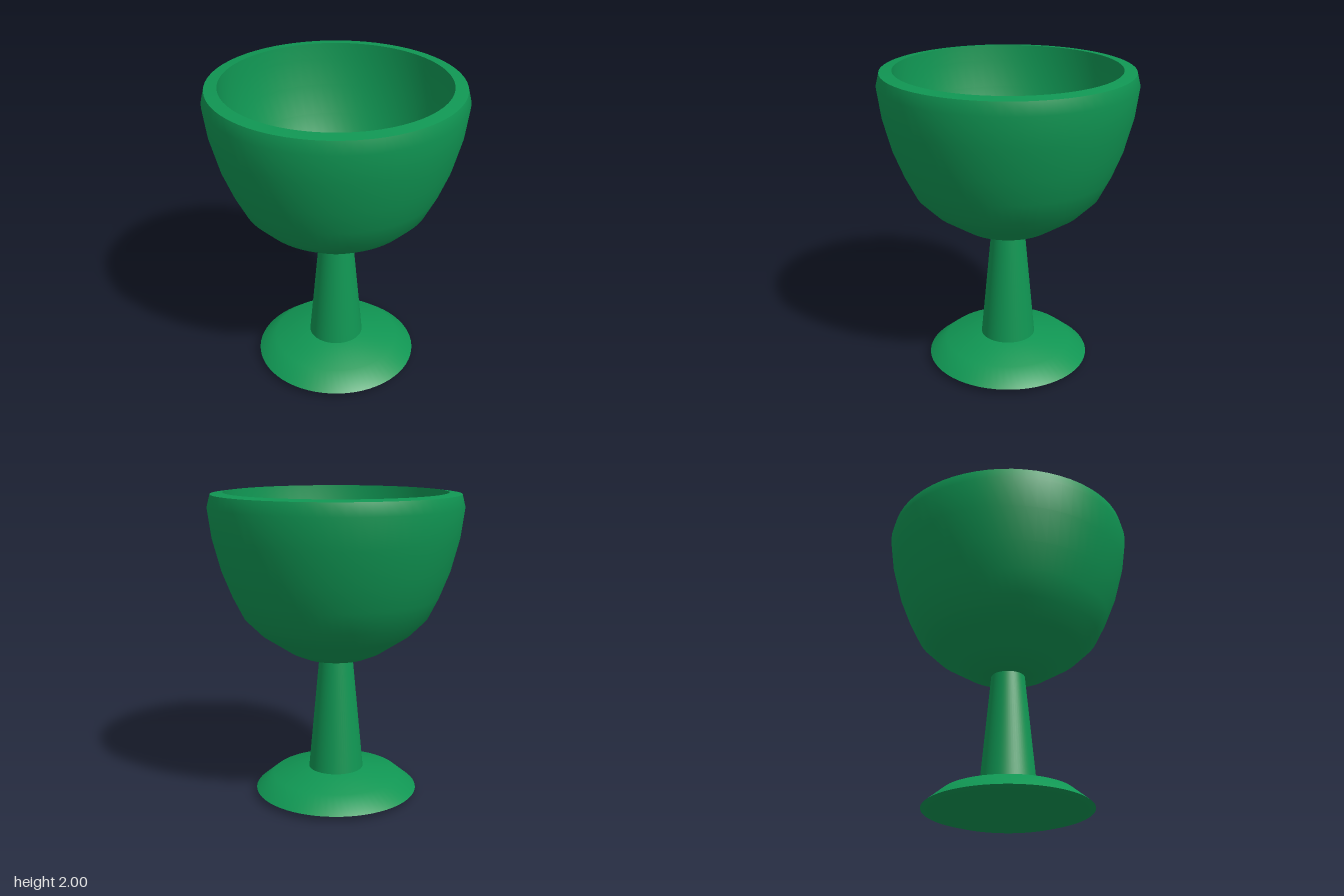
import * as THREE from 'three';

const SEGMENTS = 64;

export function createModel() {
  const goblet = new THREE.Group();
  goblet.name = 'goblet';
  const green = new THREE.MeshStandardMaterial({ color: 0x109653 });
  green.name = 'green';

  // Turns a [radius, height] profile; separate profiles keep a crisp edge between them
  const turn = (name, profile) => {
    const points = profile.map(([r, y]) => new THREE.Vector2(r, y));
    const mesh = new THREE.Mesh(new THREE.LatheGeometry(points, SEGMENTS), green);
    mesh.name = name;
    goblet.add(mesh);
  };

  // Foot: underside, then sloping top
  turn('footUnderside', [[0, 0], [0.44, 0.005], [0.535, 0.035]]);
  turn('footTop', [[0.535, 0.035], [0.42, 0.13], [0.18, 0.175]]);

  // Tapered stem
  turn('stem', [[0.18, 0.175], [0.11, 0.92]]);

  // Bowl: outside, flat rim, hollow inside
  turn('bowlOutside', [
    [0.11, 0.92], [0.22, 0.94], [0.3, 0.975], [0.49, 1.1], [0.595, 1.205], [0.665, 1.345],
    [0.73, 1.51], [0.785, 1.72], [0.81, 1.91], [0.79, 1.99],
  ]);
  turn('rim', [[0.79, 1.99], [0.71, 2]]);
  turn('bowlInside', [
    [0.71, 2], [0.705, 1.9], [0.685, 1.72], [0.635, 1.53], [0.575, 1.38], [0.51, 1.26],
    [0.42, 1.17], [0.27, 1.08], [0.14, 1.04], [0, 1.03],
  ]);

  return goblet;
}
